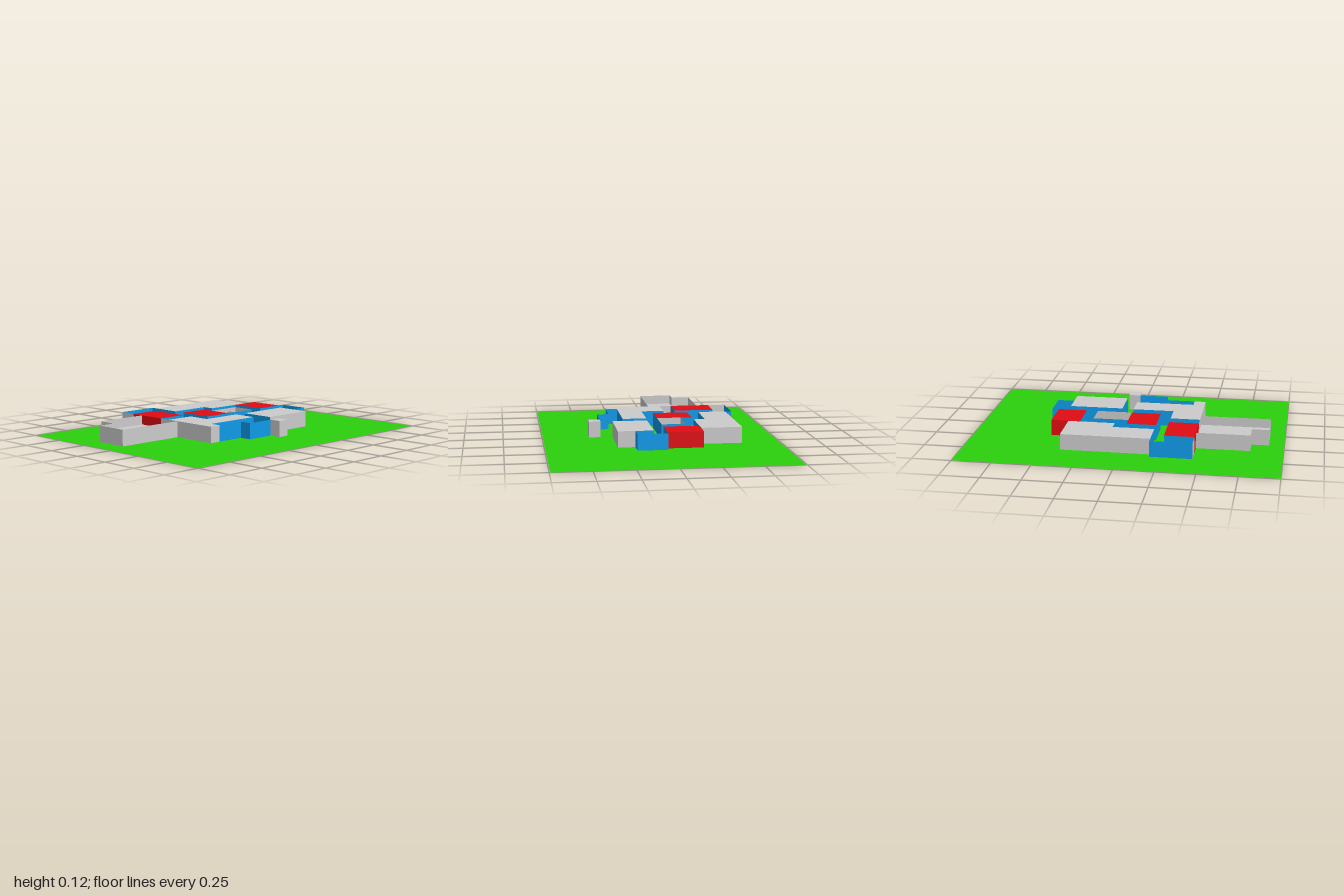
import * as THREE from 'three';

const BASE = 0.013, TOP = 0.115, FLOOR = 0.055;
const paint = (color, side = THREE.FrontSide) =>
  new THREE.MeshStandardMaterial({ color, side, flatShading: true });

export function createModel() {
  const model = new THREE.Group();
  const colors = { grey: 0xcccccc, blue: 0x0f9bea, red: 0xe00c12, green: 0x2bd00c };
  const one = {}, both = {};
  for (const k in colors) {
    one[k] = paint(colors[k]);
    both[k] = paint(colors[k], THREE.DoubleSide);
  }

  // Upright panel from a to b (x, z pairs); its front is on the right of travel seen from above
  function wall(parent, name, a, b, material) {
    const dx = b[0] - a[0], dz = b[1] - a[1];
    const mesh = new THREE.Mesh(new THREE.PlaneGeometry(Math.hypot(dx, dz), TOP - BASE), material);
    mesh.position.set((a[0] + b[0]) / 2, (BASE + TOP) / 2, (a[1] + b[1]) / 2);
    mesh.rotation.y = Math.atan2(-dz, dx);
    mesh.name = name;
    parent.add(mesh);
  }

  // Flat slab outline laid at height y
  function slab(parent, name, pts, y, material) {
    const shape = new THREE.Shape(pts.map(([x, z]) => new THREE.Vector2(x, -z)));
    const mesh = new THREE.Mesh(new THREE.ShapeGeometry(shape), material);
    mesh.rotation.x = -Math.PI / 2;
    mesh.position.y = y;
    mesh.name = name;
    parent.add(mesh);
  }

  // Room: corners are [x, z, colour of the outer wall that starts here]
  function room(name, color, corners, open = false) {
    const g = new THREE.Group();
    g.name = name;
    corners.forEach((a, i) => {
      if (!a[2]) return;
      const b = corners[(i + 1) % corners.length];
      wall(g, 'outerWall', a, b, one[a[2]]);
      wall(g, 'innerWall', b, a, one[color]);
    });
    slab(g, open ? 'floor' : 'roof', corners, open ? FLOOR : TOP, both[color]);
    model.add(g);
    return g;
  }

  // Open run of corridor wall, seen from both sides
  function run(parent, name, pts, color) {
    for (let i = 1; i < pts.length; i++) wall(parent, name, pts[i - 1], pts[i], both[color]);
  }

  // Ground
  slab(model, 'ground', [[-1, 0.745], [1, 0.745], [1, -0.745], [-1, -0.745]], 0, both.green);

  // Roofless rooms
  room('sideTerrace', 'grey', [
    [-0.905, 0, 'grey'], [-0.455, 0, null], [-0.455, -0.335, 'grey'],
    [-0.795, -0.335, 'grey'], [-0.795, -0.215, 'grey'], [-0.905, -0.215, 'grey'],
  ], true);
  const core = room('coreRoom', 'grey', [
    [0, 0, 'blue'], [0.225, 0, 'blue'], [0.225, -0.155, 'blue'], [0, -0.155, 'grey'],
  ], true);
  run(core, 'nicheWall', [[0.042, -0.05], [0.058, -0.05], [0.058, 0]], 'grey');
  run(core, 'nicheWall', [[0.042, -0.05], [0.042, -0.03]], 'grey');

  // Grey roofed rooms
  room('cornerRoom', 'grey', [
    [-0.455, 0.3, 'grey'], [-0.38, 0.3, 'blue'], [-0.38, 0.225, 'blue'], [0, 0.225, 'blue'],
    [0, 0.07, 'blue'], [-0.265, 0.07, 'blue'], [-0.265, -0.08, 'blue'], [-0.455, -0.08, 'grey'],
  ]);
  room('frontRoom', 'grey', [
    [0.075, 0.3, 'grey'], [0.422, 0.3, 'grey'], [0.422, 0.19, 'blue'],
    [0.422, 0.075, 'blue'], [0.075, 0.075, 'blue'],
  ]);
  room('backRoom', 'grey', [
    [-0.19, -0.305, 'blue'], [0.075, -0.305, 'blue'], [0.075, -0.23, 'blue'],
    [0.375, -0.23, 'grey'], [0.375, -0.49, 'grey'], [-0.19, -0.49, 'blue'],
  ]);
  room('entrancePorch', 'grey', [
    [0, 0.452, 'grey'], [0.075, 0.452, 'grey'], [0.075, 0.376, 'grey'], [0, 0.376, 'grey'],
  ]);

  // Red roofed rooms
  room('redLeftRoom', 'red', [
    [-0.455, -0.155, 'blue'], [-0.265, -0.155, 'blue'], [-0.265, -0.418, 'blue'], [-0.455, -0.418, 'red'],
  ]);
  room('redMiddleRoom', 'red', [
    [-0.19, 0, 'blue'], [0, 0, null], [0, -0.155, 'blue'], [0, -0.228, 'blue'], [-0.19, -0.228, 'blue'],
  ]);
  room('redRightRoom', 'red', [
    [0.3, 0, 'blue'], [0.487, 0, 'red'], [0.487, -0.228, 'red'], [0.3, -0.228, 'blue'],
  ]);

  // Outer walls of the open corridors
  const corridor = new THREE.Group();
  corridor.name = 'corridor';
  run(corridor, 'backCorridorWall', [[-0.455, -0.532], [-0.19, -0.532], [-0.19, -0.49]], 'blue');
  run(corridor, 'backCorridorEnd', [[-0.455, -0.418], [-0.455, -0.532]], 'grey');
  run(corridor, 'terraceDoorway', [[-0.455, -0.08], [-0.455, -0.155]], 'grey');
  run(corridor, 'frontCorridorWall', [[-0.38, 0.3], [-0.19, 0.3], [-0.19, 0.376], [0, 0.376]], 'blue');
  run(corridor, 'rightCorridorWall', [[0.422, 0.19], [0.53, 0.19], [0.53, 0], [0.487, 0]], 'blue');
  model.add(corridor);

  return model;
}
